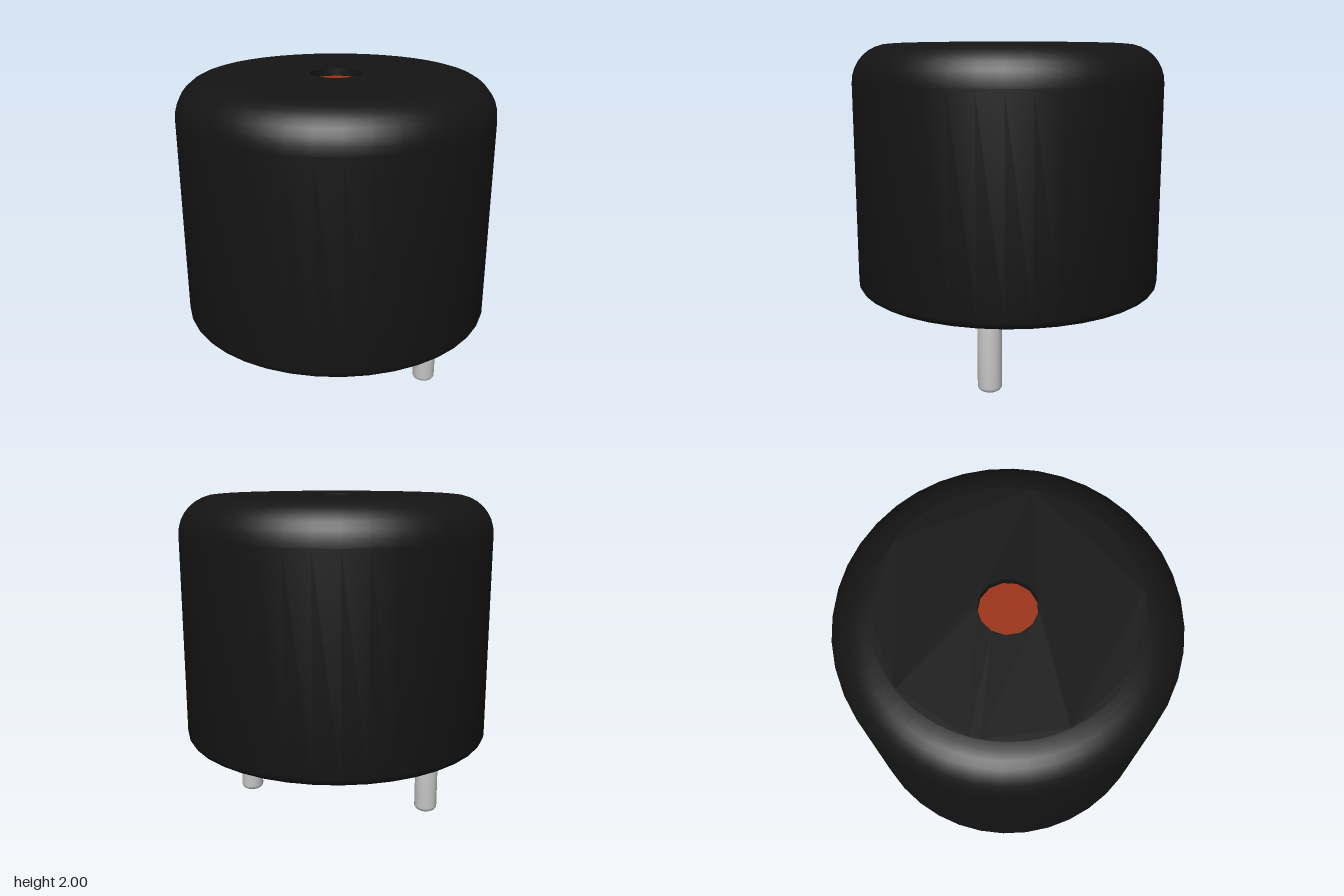
import * as THREE from 'three';
import { toCreasedNormals } from 'three/addons/utils/BufferGeometryUtils.js';

const SIDES = 40;
const HOLE_SIDES = 13;

// Quarter-circle profile points around (cx, cy), from angle a to angle b in degrees
function fillet(cx, cy, r, a, b, steps) {
  const points = [];
  for (let i = 0; i <= steps; i++) {
    const t = THREE.MathUtils.degToRad(a + (b - a) * i / steps);
    points.push(new THREE.Vector2(cx + r * Math.cos(t), cy + r * Math.sin(t)));
  }
  return points;
}

export function createModel() {
  const group = new THREE.Group();
  const black = new THREE.MeshStandardMaterial({ color: 0x141414 });
  const blackInside = new THREE.MeshStandardMaterial({ color: 0x141414, side: THREE.DoubleSide });
  const orange = new THREE.MeshStandardMaterial({ color: 0x9c3214 });
  const metal = new THREE.MeshStandardMaterial({ color: 0xcccccc });

  const add = (name, geometry, material, x = 0, y = 0) => {
    const mesh = new THREE.Mesh(geometry, material);
    mesh.name = name;
    mesh.position.set(x, y, 0);
    group.add(mesh);
  };

  // Round housing: small bottom fillet, large top fillet
  const R = 0.955, bottom = 0.49, top = 2, rTop = 0.235, rBottom = 0.05;
  const profile = [
    new THREE.Vector2(0, bottom),
    ...fillet(R - rBottom, bottom + rBottom, rBottom, -90, 0, 4),
    ...fillet(R - rTop, top - rTop, rTop, 0, 90, 8),
  ];
  add('housing', toCreasedNormals(new THREE.LatheGeometry(profile, SIDES), 0.6), black);

  // Flat top with the sound hole
  const holeR = 0.16, holeDepth = 0.045;
  const face = new THREE.Shape();
  face.absarc(0, 0, R - rTop, 0, Math.PI * 2);
  const rim = [];
  for (let i = 0; i < HOLE_SIDES; i++) {
    const t = -i / HOLE_SIDES * Math.PI * 2;
    rim.push(new THREE.Vector2(holeR * Math.sin(t), -holeR * Math.cos(t)));
  }
  face.holes.push(new THREE.Path(rim));
  add('topFace', new THREE.ShapeGeometry(face, SIDES).rotateX(-Math.PI / 2), black, 0, top);

  // Recess wall and its coloured floor
  add('soundHoleWall',
    new THREE.CylinderGeometry(holeR, holeR, holeDepth, HOLE_SIDES, 1, true),
    blackInside, 0, top - holeDepth / 2);
  add('soundHoleFloor',
    new THREE.CircleGeometry(holeR, HOLE_SIDES, -Math.PI / 2).rotateX(-Math.PI / 2),
    orange, 0, top - holeDepth);

  // Two metal pins with rounded tips
  const pinR = 0.072, tip = 0.03;
  const pinProfile = [
    new THREE.Vector2(0, 0),
    ...fillet(pinR - tip, tip, tip, -90, 0, 4),
    new THREE.Vector2(pinR, bottom + 0.01),
  ];
  const pin = toCreasedNormals(new THREE.LatheGeometry(pinProfile, 20), 0.6);
  add('leftPin', pin, metal, 0.605);
  add('rightPin', pin, metal, -0.605);

  return group;
}
